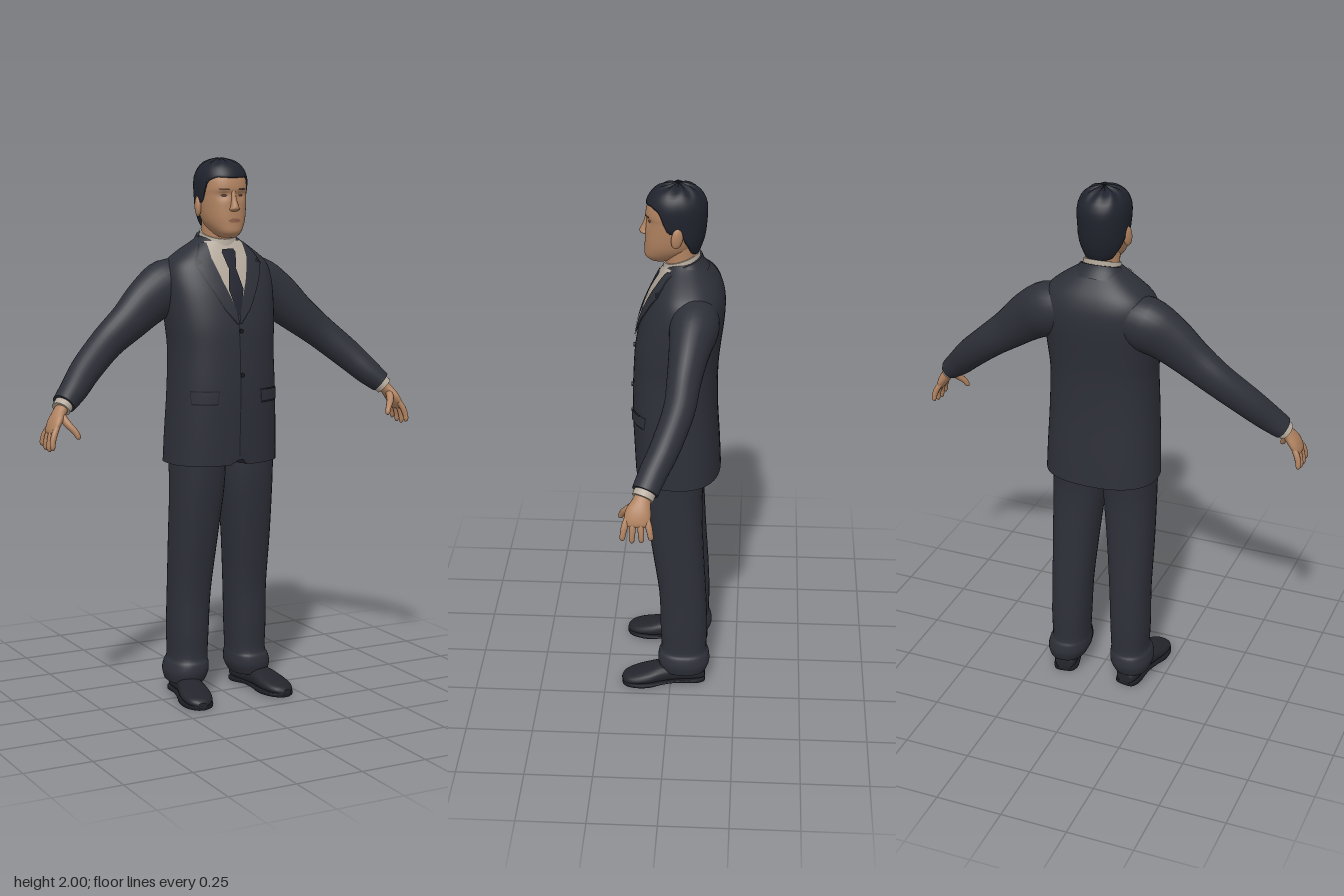
import * as THREE from 'three';

const paint = (name, color) => Object.assign(new THREE.MeshStandardMaterial({ color }), { name });
const V = (x, y, z) => new THREE.Vector3(x, y, z);
const lerp = THREE.MathUtils.lerp;

// Smoothly subdivides rows of numbers
function spline(rows, n = 4) {
  const out = [], at = i => rows[Math.min(Math.max(i, 0), rows.length - 1)];
  for (let i = 0; i < rows.length - 1; i++) for (let k = 0; k < n; k++) {
    const t = k / n, a = at(i - 1), b = at(i), c = at(i + 1), d = at(i + 2);
    out.push(b.map((_, j) => 0.5 * (2 * b[j] + (c[j] - a[j]) * t + (2 * a[j] - 5 * b[j] + 4 * c[j] - d[j]) * t * t
      + (3 * b[j] - a[j] - 3 * c[j] + d[j]) * t * t * t)));
  }
  out.push(rows[rows.length - 1]);
  return out;
}

// Skin over closed rings, with sharp-edged end caps
function loft(rings) {
  const n = rings[0].length, m = rings.length, pos = [], idx = [];
  const put = p => pos.push(p.x, p.y, p.z) / 3 - 1;
  rings.forEach(r => r.forEach(put));
  for (let i = 0; i < m - 1; i++) for (let j = 0; j < n; j++) {
    const a = i * n + j, b = i * n + (j + 1) % n;
    idx.push(b, a, a + n, b, a + n, b + n);
  }
  [rings[0], rings[m - 1]].forEach((ring, top) => {
    const c = put(ring.reduce((s, p) => s.add(p), V(0, 0, 0)).divideScalar(n));
    const first = ring.map(put)[0];
    for (let j = 0; j < n; j++) {
      const a = first + j, b = first + (j + 1) % n;
      top ? idx.push(c, b, a) : idx.push(c, a, b);
    }
  });
  const g = new THREE.BufferGeometry();
  g.setAttribute('position', new THREE.Float32BufferAttribute(pos, 3));
  g.setIndex(idx);
  g.computeVertexNormals();
  return g;
}

// Rows are [height, centre x, half width, front z, back z]
function point([y, cx, rx, zf, zb], a, p = 2) {
  const c = Math.cos(a), s = Math.sin(a), e = 2 / p;
  return V(cx + rx * Math.sign(c) * Math.abs(c) ** e, y, (zf + zb) / 2 + (zf - zb) / 2 * Math.sign(s) * Math.abs(s) ** e);
}
function stack(rows, p = 2, n = 40, rule = q => q) {
  return loft(rows.map(r => Array.from({ length: n }, (_, j) => rule(point(r, j / n * Math.PI * 2, p)))));
}
function rowAt(rows, y) {
  let i = 0;
  while (i < rows.length - 2 && rows[i + 1][0] < y) i++;
  const t = THREE.MathUtils.clamp((y - rows[i][0]) / (rows[i + 1][0] - rows[i][0]), 0, 1);
  return rows[i].map((v, j) => lerp(v, rows[i + 1][j], t));
}

// Thin plate following the front of a stack; edge rows are [y, x0, x1]
function patch(rows, p, edges, lift) {
  const pos = [], idx = [], W = 8, S = 6, list = [];
  edges.slice(1).forEach((e, i) => {
    for (let k = i ? 1 : 0; k <= S; k++) list.push(edges[i].map((v, j) => lerp(v, e[j], k / S)));
  });
  list.forEach(([y, x0, x1], i) => {
    const [, cx, rx, zf, zb] = rowAt(rows, y);
    for (let j = 0; j <= W; j++) {
      const x = lerp(x0, x1, j / W), u = Math.min(1, Math.abs((x - cx) / rx));
      pos.push(x, y, (zf + zb) / 2 + (zf - zb) / 2 * (1 - u ** p) ** (1 / p) + lift);
      const a = i * (W + 1) + j;
      if (i < list.length - 1 && j < W) idx.push(a, a + 1, a + W + 2, a, a + W + 2, a + W + 1);
    }
  });
  const g = new THREE.BufferGeometry();
  g.setAttribute('position', new THREE.Float32BufferAttribute(pos, 3));
  g.setIndex(idx);
  g.computeVertexNormals();
  return g;
}

// Limb along rows [x, y, z, radius along z, radius across]
function limb(rows, n = 20, sub = 4) {
  const r = spline(rows, sub), at = i => V(...r[Math.min(Math.max(i, 0), r.length - 1)].slice(0, 3));
  return loft(r.map((q, i) => {
    const t = at(i + 1).sub(at(i - 1)).normalize();
    const u = V(0, 0, 1).addScaledVector(t, -t.z).normalize(), v = u.clone().cross(t);
    return Array.from({ length: n }, (_, j) => {
      const a = j / n * Math.PI * 2;
      return at(i).addScaledVector(u, Math.cos(a) * q[3]).addScaledVector(v, Math.sin(a) * q[4]);
    });
  }));
}

function mirror(g) {
  const m = g.clone().scale(-1, 1, 1), a = m.index.array;
  for (let i = 0; i < a.length; i += 3) [a[i], a[i + 1]] = [a[i + 1], a[i]];
  return m;
}

export function createModel() {
  const model = new THREE.Group();
  const suit = paint('suit cloth', 0x2e3039), seam = paint('seam', 0x1b1c23), shoeMat = paint('shoe leather', 0x24252c),
    hairMat = paint('hair', 0x20232d), shirtMat = paint('shirt', 0xb5aa9c), tieMat = paint('tie', 0x20222d),
    skin = paint('skin', 0xb08260), lipMat = paint('lips', 0x8f5f4c), eyeMat = paint('eyes', 0x4a352c);
  const add = (name, g, mat) => {
    const mesh = new THREE.Mesh(g, mat);
    mesh.name = name;
    model.add(mesh);
  };
  const pair = (name, g, mat) => { add(name + 'Left', g, mat); add(name + 'Right', mirror(g), mat); };

  // Jacket body, with a small opening at the front hem
  const torso = spline([[0.89, 0, 0.214, 0.135, -0.18], [1, 0, 0.21, 0.14, -0.175], [1.15, 0, 0.203, 0.145, -0.166],
    [1.3, 0, 0.198, 0.14, -0.166], [1.4, 0, 0.205, 0.132, -0.175], [1.5, 0, 0.212, 0.11, -0.187], [1.57, 0, 0.212, 0.085, -0.188],
    [1.62, 0, 0.195, 0.063, -0.174], [1.66, 0, 0.15, 0.042, -0.15], [1.7, 0, 0.09, 0.02, -0.115], [1.72, 0, 0.065, 0.005, -0.095]]);
  const TP = 2.4;
  add('jacket', stack(torso, TP, 56, q => {
    if (q.y < 0.9 && q.z > 0) q.y += Math.max(0, 0.035 - Math.abs(q.x));
    return q;
  }), suit);
  const onTorso = (edges, lift) => patch(torso, TP, edges, lift);
  add('frontSeam', onTorso([[0.925, -0.002, 0.002], [1.42, -0.002, 0.002]], 0.003), seam);
  add('shirtFront', onTorso([[1.44, -0.006, 0.006], [1.56, -0.055, 0.055], [1.64, -0.08, 0.08], [1.7, -0.075, 0.075]], 0.004), shirtMat);
  add('tie', onTorso([[1.44, -0.006, 0.006], [1.53, -0.03, 0.03], [1.605, -0.014, 0.014], [1.61, -0.017, 0.017], [1.66, -0.028, 0.028],
    [1.672, -0.022, 0.022]], 0.01), tieMat);
  pair('lapel', onTorso([[1.41, 0, 0.006], [1.46, 0.008, 0.05], [1.56, 0.047, 0.105], [1.615, 0.064, 0.13], [1.625, 0.067, 0.105],
    [1.64, 0.072, 0.12], [1.695, 0.072, 0.09]], 0.008), suit);
  pair('lapelEdge', onTorso([[1.405, 0, 0.01], [1.46, 0.03, 0.054], [1.56, 0.09, 0.109], [1.62, 0.1, 0.135], [1.645, 0.1, 0.124],
    [1.69, 0.085, 0.096]], 0.005), seam);
  pair('pocketEdge', onTorso([[1.115, 0.088, 0.172], [1.167, 0.083, 0.176]], 0.004), seam);
  pair('pocketFlap', onTorso([[1.121, 0.091, 0.172], [1.163, 0.087, 0.176]], 0.008), suit);
  for (const y of [1.22, 1.38]) {
    add('button', new THREE.CylinderGeometry(0.008, 0.008, 0.008, 12).rotateX(Math.PI / 2).translate(0.008, y, rowAt(torso, y)[3] + 0.002), seam);
  }

  // Collars and neck, higher at the back
  const tilt = q => { q.y -= (q.z + 0.04) * 0.35; return q; };
  add('neck', stack([[1.64, 0, 0.066, 0.024, -0.092], [1.72, 0, 0.061, 0.026, -0.09], [1.8, 0, 0.062, 0.03, -0.09]]), skin);
  add('shirtCollar', stack([[1.66, 0, 0.077, 0.042, -0.104], [1.7, 0, 0.072, 0.036, -0.1], [1.73, 0, 0.067, 0.03, -0.097]], 2, 40, tilt), shirtMat);
  add('jacketCollar', stack([[1.66, 0, 0.105, 0.012, -0.13], [1.69, 0, 0.086, 0.01, -0.112], [1.712, 0, 0.076, 0.008, -0.105]], 2, 40, tilt), suit);

  // Sleeves, cuffs and hands
  pair('sleeve', limb([[0.09, 1.555, -0.08, 0.08, 0.075], [0.18, 1.535, -0.085, 0.088, 0.1], [0.265, 1.485, -0.072, 0.072, 0.09],
    [0.35, 1.415, -0.058, 0.06, 0.074], [0.44, 1.345, -0.045, 0.055, 0.063], [0.54, 1.258, -0.005, 0.052, 0.057],
    [0.605, 1.193, 0.033, 0.049, 0.05], [0.655, 1.148, 0.058, 0.046, 0.041]], 28), suit);
  pair('cuff', limb([[0.645, 1.155, 0.053, 0.038, 0.034], [0.668, 1.132, 0.065, 0.038, 0.033]]), shirtMat);
  pair('palm', limb([[0.655, 1.145, 0.06, 0.028, 0.022], [0.675, 1.122, 0.068, 0.032, 0.021], [0.697, 1.09, 0.078, 0.044, 0.02],
    [0.713, 1.06, 0.083, 0.041, 0.015], [0.718, 1.048, 0.084, 0.03, 0.008]]), skin);
  for (const [i, len] of [0.85, 1, 0.96, 0.78].entries()) {
    const z = 0.115 - i * 0.022, out = (1.5 - i) * 0.005;
    pair('finger' + (i + 1), limb([[0.704, 1.075, z, 0.01, 0.01], [0.718, 1.05, z + out, 0.0115, 0.011],
      [0.726, 1.05 - 0.03 * len, z + out * 1.7, 0.01, 0.01], [0.727, 1.05 - 0.05 * len, z + out * 2, 0.009, 0.009],
      [0.724, 1.05 - 0.06 * len, z + out * 2, 0.003, 0.003]], 10, 3), skin);
  }
  pair('thumb', limb([[0.678, 1.115, 0.085, 0.016, 0.014], [0.664, 1.085, 0.115, 0.014, 0.013], [0.645, 1.06, 0.134, 0.011, 0.011],
    [0.636, 1.04, 0.142, 0.009, 0.009], [0.634, 1.033, 0.144, 0.003, 0.003]], 10, 3), skin);

  // Trousers with folds above the shoe
  pair('trouserLeg', stack(spline([[0.055, 0.135, 0.068, 0.036, -0.138], [0.09, 0.131, 0.08, 0.048, -0.15], [0.125, 0.127, 0.077, 0.046, -0.146],
    [0.15, 0.123, 0.071, 0.036, -0.138], [0.25, 0.122, 0.074, 0.04, -0.14], [0.4, 0.118, 0.077, 0.045, -0.134],
    [0.6, 0.111, 0.087, 0.073, -0.122], [0.8, 0.101, 0.097, 0.098, -0.116], [0.93, 0.1, 0.1, 0.105, -0.13]]), 2.3, 32), suit);

  // Shoes: stacked heel to toe, laid flat and turned out
  const foot = g => g.rotateX(Math.PI / 2).rotateY(0.16).translate(0.15, 0, 0.02);
  const outline = [[-0.152, 0.022], [-0.145, 0.036], [-0.11, 0.046], [-0.04, 0.043], [0.02, 0.05], [0.07, 0.057], [0.12, 0.053], [0.152, 0.038],
    [0.168, 0.016]];
  const tops = [0.05, 0.06, 0.075, 0.08, 0.078, 0.064, 0.05, 0.04, 0.028];
  pair('shoe', foot(stack(spline(outline.map(([l, w], i) => [l, 0, w, -0.008, -tops[i]])), 2.3, 24)), shoeMat);
  pair('sole', foot(stack(spline(outline.map(([l, w]) => [l, 0, w + 0.003, l > -0.045 && l < 0.03 ? -0.007 : 0, -0.018])), 5, 24)), seam);

  // Head with hollowed eye sockets
  const head = spline([[1.714, 0, 0.028, 0.078, 0.01], [1.732, 0, 0.048, 0.097, -0.03], [1.76, 0, 0.067, 0.098, -0.07], [1.79, 0, 0.077, 0.097, -0.09],
    [1.83, 0, 0.083, 0.094, -0.104], [1.868, 0, 0.086, 0.091, -0.11], [1.89, 0, 0.087, 0.094, -0.112], [1.93, 0, 0.084, 0.084, -0.108],
    [1.965, 0, 0.066, 0.055, -0.08], [1.985, 0, 0.03, 0.02, -0.04]]);
  add('head', stack(head, 2.2, 56, q => {
    if (q.z > 0) q.z -= 0.009 * Math.exp(-(((Math.abs(q.x) - 0.034) / 0.017) ** 2) - ((q.y - 1.865) / 0.013) ** 2);
    return q;
  }), skin);
  add('nose', stack(spline([[1.808, 0, 0.012, 0.099, 0.08], [1.815, 0, 0.019, 0.114, 0.08], [1.826, 0, 0.015, 0.115, 0.08],
    [1.85, 0, 0.01, 0.103, 0.08], [1.88, 0, 0.009, 0.094, 0.08]]), 2, 16), skin);
  add('lips', patch(head, 2.2, [[1.768, -0.014, 0.014], [1.775, -0.027, 0.027], [1.782, -0.012, 0.012]], 0.003), lipMat);
  pair('eye', patch(head, 2.2, [[1.86, 0.027, 0.04], [1.865, 0.022, 0.046], [1.869, 0.028, 0.04]], -0.005), eyeMat);
  pair('eyebrow', patch(head, 2.2, [[1.884, 0.016, 0.05], [1.89, 0.02, 0.056]], 0.002), eyeMat);
  pair('ear', new THREE.SphereGeometry(1, 16, 12).scale(0.012, 0.038, 0.021).rotateX(-0.15).rotateY(0.3).translate(0.088, 1.825, -0.02), skin);

  // Hair cap: hairline runs low at the nape, high at the forehead
  const hair = spline([[1.745, 0, 0.06, 0.02, -0.093], [1.8, 0, 0.084, 0.07, -0.113], [1.86, 0, 0.091, 0.09, -0.121], [1.92, 0, 0.093, 0.094, -0.122],
    [1.96, 0, 0.08, 0.077, -0.106], [1.984, 0, 0.053, 0.046, -0.076], [1.995, 0, 0.008, -0.01, -0.03]]);
  const hairline = [[-1, 1.745], [-0.6, 1.755], [-0.25, 1.81], [-0.1, 1.85], [0.15, 1.835], [0.3, 1.85], [0.5, 1.915], [0.8, 1.93], [1, 1.927]];
  const N = 64, rings = [];
  for (let k = -1; k <= 14; k++) {
    const s = Math.sin(Math.max(k, 0) / 14 * Math.PI / 2);
    rings.push(Array.from({ length: N }, (_, j) => {
      const a = j / N * Math.PI * 2, q = point(rowAt(hair, lerp(rowAt(hairline, Math.sin(a))[1], 1.995, s)), a, 2.15);
      if (k < 0) { q.x *= 0.88; q.z = (q.z + 0.015) * 0.88 - 0.015; }
      q.y += 0.005 * Math.sin(9 * a + k * 0.4) * s ** 6;
      return q;
    }));
  }
  add('hair', loft(rings), hairMat);
  return model;
}
